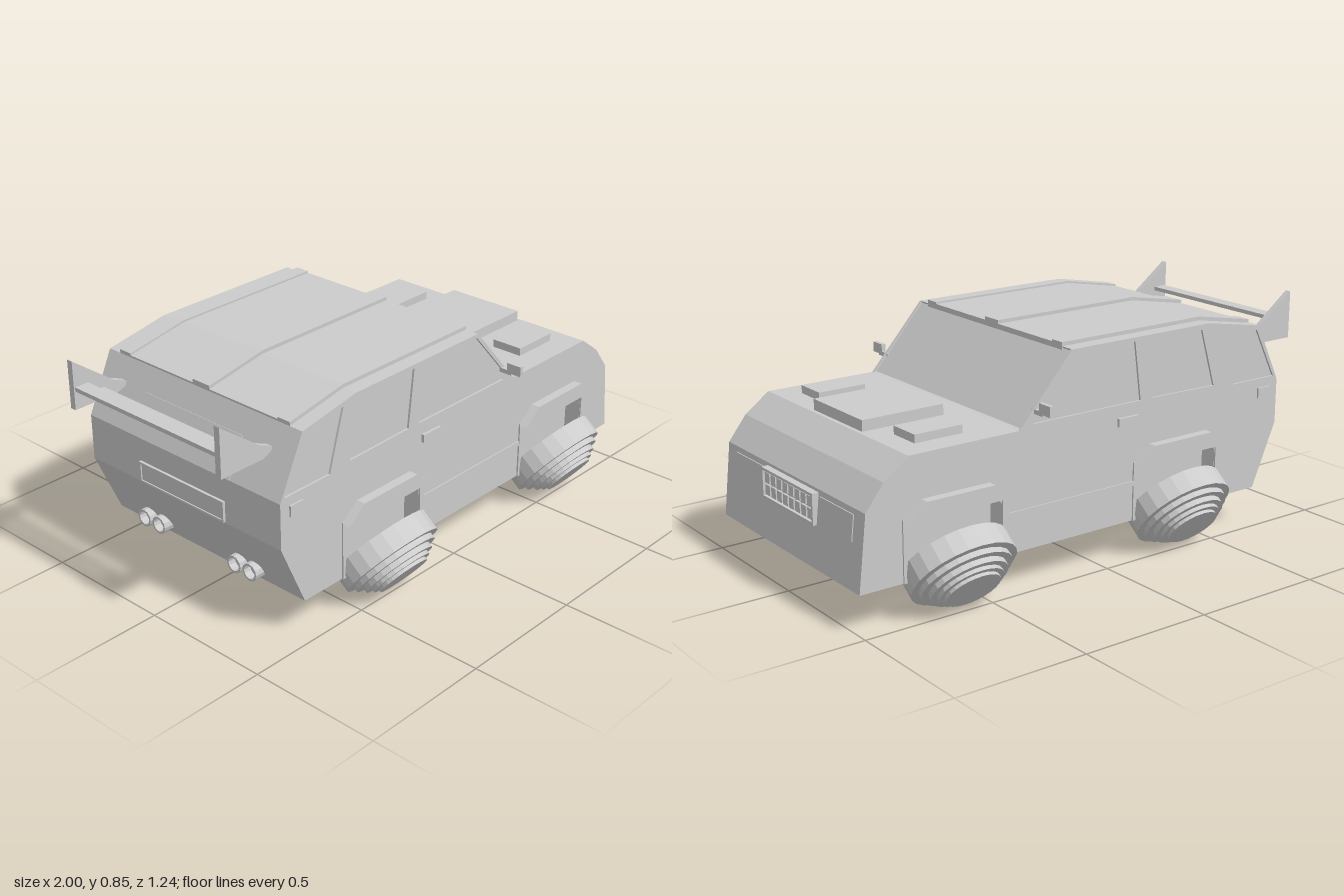
import * as THREE from 'three';

const material = new THREE.MeshStandardMaterial({ color: 0xcccccc, flatShading: true, side: THREE.DoubleSide });

export function createModel() {
  const model = new THREE.Group();

  const add = (name, geometry, parent = model) => {
    const mesh = new THREE.Mesh(geometry, material);
    mesh.name = name;
    parent.add(mesh);
    return mesh;
  };
  // Box given by its minimum and maximum corners
  const box = (name, x0, x1, y0, y1, z0, z1, parent) => {
    const g = new THREE.BoxGeometry(x1 - x0, y1 - y0, Math.abs(z1 - z0));
    return add(name, g.translate((x0 + x1) / 2, (y0 + y1) / 2, (z0 + z1) / 2), parent);
  };
  // Side profile (x, y) extruded between two z values
  const path = (pts) => pts.map(([x, y]) => new THREE.Vector2(x, y));
  const slab = (name, pts, za, zb, holes = []) => {
    const shape = new THREE.Shape(path(pts));
    holes.forEach((h) => shape.holes.push(new THREE.Path(path(h))));
    const g = new THREE.ExtrudeGeometry(shape, { depth: Math.abs(zb - za), bevelEnabled: false });
    return add(name, g.translate(0, 0, Math.min(za, zb)));
  };

  const axles = [-0.35, 0.62];

  // Body silhouettes: the inner one has a recessed windscreen
  const rear = [[-0.49, 0.815], [-0.74, 0.77], [-0.845, 0.55], [-0.845, 0.38], [-0.74, 0.14]];
  const nose = [[0.995, 0.14], [0.965, 0.41], [0.895, 0.5], [0.8, 0.57], [0.36, 0.57]];
  const wells = axles.flatMap((x) => [[x - 0.185, 0.14], [x - 0.185, 0.33], [x - 0.13, 0.385],
    [x + 0.13, 0.385], [x + 0.185, 0.33], [x + 0.185, 0.14]]);
  const inner = [...nose, [0.345, 0.572], [0.135, 0.808], [0.14, 0.815], ...rear];
  const outer = [...nose, [0.14, 0.815], ...rear];
  const windows = [
    [[-0.825, 0.565], [-0.73, 0.755], [-0.55, 0.787], [-0.615, 0.565]],
    [[-0.52, 0.578], [-0.455, 0.795], [-0.2, 0.8], [-0.225, 0.583]],
    [[-0.17, 0.583], [-0.14, 0.8], [0.135, 0.8], [0.315, 0.6], [0.3, 0.583]],
  ];

  slab('bodyCore', inner, -0.4, 0.4);
  for (const s of [1, -1]) {
    slab('bodySide', [...inner, ...wells], s * 0.4, s * 0.457);
    slab('sideSkin', [...outer, ...wells], s * 0.457, s * 0.465, windows);
  }

  // Roof panel, side rails and central rib, all following the roof line
  const roofStrip = (name, h, z0, z1) => slab(name,
    [[0.14, 0.8], [0.14, 0.815 + h], [-0.49, 0.815 + h], [-0.74, 0.77 + h], [-0.74, 0.765], [-0.49, 0.8]], z0, z1);
  roofStrip('roofPanel', 0.007, -0.41, 0.41);
  roofStrip('roofRib', 0.02, -0.04, 0.04);
  for (const s of [1, -1]) roofStrip('roofRail', 0.014, s * 0.355, s * 0.41);

  // Bonnet scoops
  box('bonnetScoop', 0.46, 0.785, 0.56, 0.61, -0.16, 0.16);
  for (const s of [1, -1]) box('bonnetVent', 0.525, 0.715, 0.56, 0.6, s * 0.245, s * 0.37);

  // Grille: frame with two rows of eight cells
  const grille = new THREE.Group();
  grille.name = 'grille';
  model.add(grille);
  box('grilleBack', 0.955, 0.978, 0.288, 0.4, -0.175, 0.175, grille);
  for (const y of [0.288, 0.39]) box('grilleRail', 0.96, 0.992, y, y + 0.01, -0.175, 0.175, grille);
  for (const z of [-0.175, 0.167]) box('grillePost', 0.96, 0.992, 0.288, 0.4, z, z + 0.008, grille);
  for (let i = 0; i < 8; i++) {
    for (const y of [0.302, 0.346]) {
      const z = -0.161 + i * 0.0415;
      box('grilleCell', 0.97, 0.986, y, y + 0.038, z, z + 0.032, grille);
    }
  }

  for (const s of [1, -1]) {
    // Headlamp, following the slope of the nose
    slab('headlamp', [[0.96, 0.3], [0.981, 0.3], [0.971, 0.39], [0.95, 0.39]], s * 0.19, s * 0.4);

    // Flared arches with thin lips down each side
    for (const x of axles) {
      slab('wheelFlare', [[x - 0.21, 0.355], [x - 0.135, 0.415], [x + 0.135, 0.415], [x + 0.21, 0.355]],
        s * 0.46, s * 0.5);
      for (const e of [-1, 1]) {
        box('archLip', x + e * 0.198 - 0.012, x + e * 0.198 + 0.012, 0.14, 0.36, s * 0.44, s * 0.471);
      }
    }

    // Side trim
    box('sillTrim', -0.15, 0.41, 0.272, 0.29, s * 0.46, s * 0.47);
    box('doorHandle', -0.155, -0.065, 0.505, 0.535, s * 0.46, s * 0.476);
    box('sideMarker', -0.805, -0.745, 0.49, 0.53, s * 0.46, s * 0.472);

    // Door mirror
    box('mirrorArm', 0.284, 0.3, 0.618, 0.634, s * 0.45, s * 0.51);
    box('mirror', 0.284, 0.3, 0.624, 0.662, s * 0.49, s * 0.55);

    // Spoiler end plate with foot
    slab('spoilerPlate', [[-1, 0.847], [-1, 0.667], [-0.82, 0.667], [-0.77, 0.685], [-0.78, 0.7], [-0.83, 0.72]],
      s * 0.342, s * 0.366);

    // Twin exhausts: open pipe with a recessed plug
    for (const z of [0.19, 0.265]) {
      const exhaust = new THREE.Group();
      exhaust.name = 'exhaust';
      exhaust.position.set(-0.745, 0.192, s * z);
      exhaust.rotation.z = Math.PI / 2;
      model.add(exhaust);
      add('exhaustPipe', new THREE.CylinderGeometry(0.033, 0.033, 0.11, 12, 1, true), exhaust);
      add('exhaustBore', new THREE.CylinderGeometry(0.025, 0.025, 0.11, 12, 1, true), exhaust);
      add('exhaustRim', new THREE.RingGeometry(0.025, 0.033, 12).rotateX(-Math.PI / 2).translate(0, 0.055, 0), exhaust);
      add('exhaustPlug', new THREE.CylinderGeometry(0.03, 0.03, 0.05, 12), exhaust);
    }
  }

  // Spoiler blades
  box('spoilerBlade', -0.995, -0.94, 0.735, 0.75, -0.345, 0.345);
  box('spoilerBlade', -0.925, -0.875, 0.695, 0.71, -0.345, 0.345);

  // Tailgate panels
  slab('tailgatePanel', [[-0.849, 0.553], [-0.784, 0.692], [-0.77, 0.685], [-0.835, 0.55]], -0.235, 0.235);
  box('plateHolder', -0.85, -0.83, 0.39, 0.46, -0.2, 0.2);
  for (const y of [0.385, 0.455]) box('plateFrame', -0.855, -0.83, y, y + 0.008, -0.208, 0.208);
  for (const z of [-0.208, 0.2]) box('plateFrame', -0.855, -0.83, 0.385, 0.463, z, z + 0.008);

  // Splayed wheels: stepped oval discs, each [radius, outer depth]
  const steps = [[0.174, 0.08], [0.15, 0.1], [0.127, 0.12], [0.107, 0.134], [0.09, 0.146]];
  for (const x of axles) {
    for (const s of [1, -1]) {
      const wheel = new THREE.Group();
      wheel.name = 'wheel';
      wheel.position.set(x, 0.186, s * 0.447);
      wheel.rotation.x = s * 2.242;
      model.add(wheel);
      steps.forEach(([r, d], i) => {
        const start = i ? steps[i - 1][1] - 0.01 : 0;
        const g = new THREE.CylinderGeometry(r, r, d - start, 24).translate(0, (d + start) / 2, 0);
        add(i === 0 ? 'tyre' : i === 4 ? 'hub' : 'rimStep', g.scale(1.15, 1, 1), wheel);
      });
    }
  }

  return model;
}
